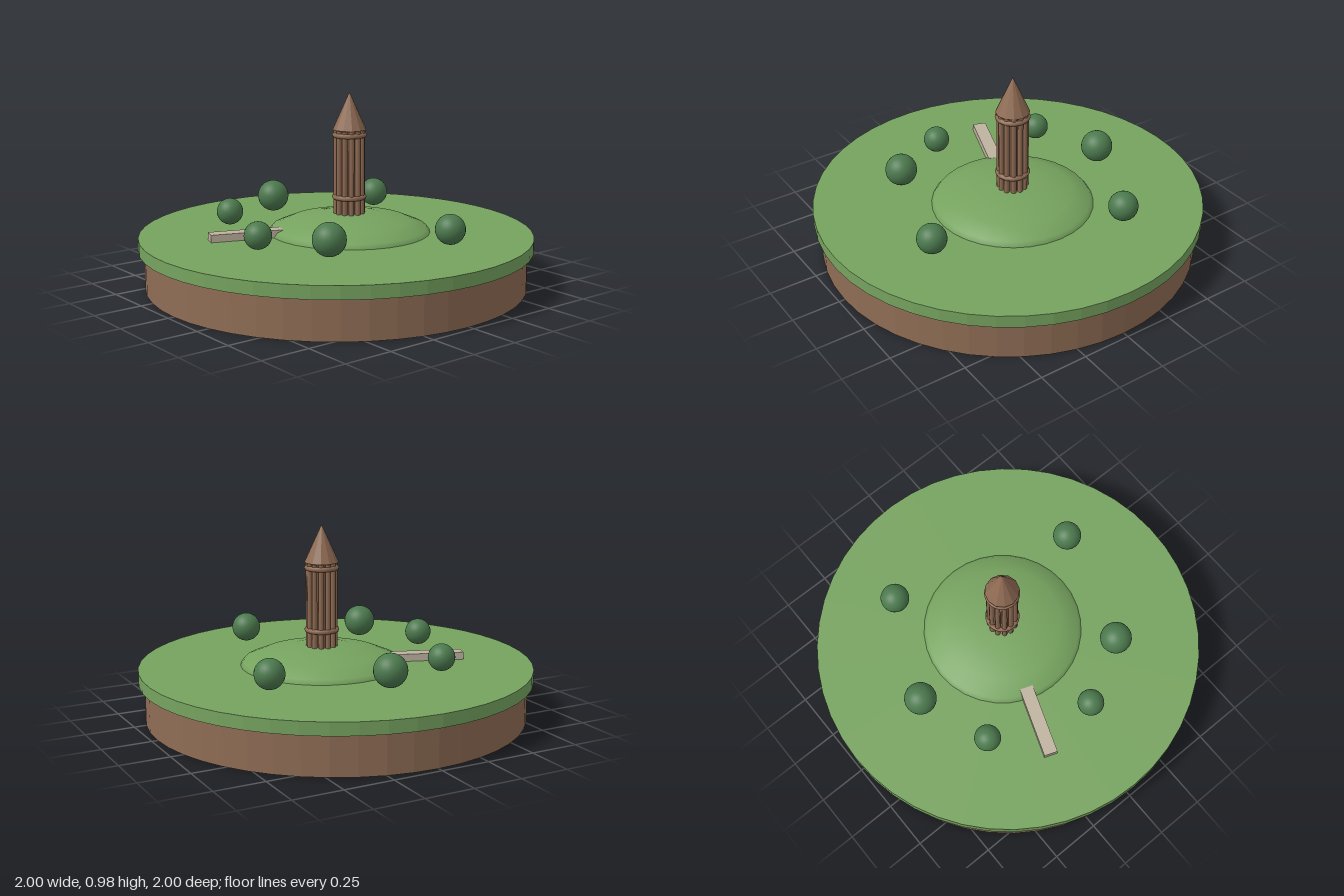
import * as THREE from 'three';

const mat = (name, color, flatShading = false) => {
  const m = new THREE.MeshStandardMaterial({ color, flatShading });
  m.name = name;
  return m;
};

export function createModel() {
  const earth = mat('earth brown', 0x8f6d55, true);
  const grass = mat('grass green', 0x76a35f, true);
  const hill = mat('mound green', 0x76a35f);
  const stone = mat('path stone', 0xbfb3a0);
  const foliage = mat('bush green', 0x4c7a4e);
  const wood = mat('tower brown', 0x8f6b53);
  const roofing = mat('roof brown', 0x8f6b53, true);

  const model = new THREE.Group();
  const add = (parent, name, geometry, material, x = 0, y = 0, z = 0) => {
    const mesh = new THREE.Mesh(geometry, material);
    mesh.name = name;
    mesh.position.set(x, y, z);
    parent.add(mesh);
    return mesh;
  };

  // Round island: soil drum with an overhanging turf disc
  add(model, 'soilBase', new THREE.CylinderGeometry(0.97, 0.97, 0.2, 48), earth, 0, 0.1, 0);
  add(model, 'turf', new THREE.CylinderGeometry(1, 1, 0.065, 48), grass, 0, 0.2325, 0);

  // Squashed, half-sunken sphere as the mound
  const mound = add(model, 'mound',
    new THREE.SphereGeometry(1, 32, 4, 0, Math.PI * 2, 0, Math.PI / 2), hill, 0.02, 0.242, -0.07);
  mound.scale.set(0.43, 0.12, 0.43);

  // Stone path leading to the mound
  const path = add(model, 'path', new THREE.BoxGeometry(0.07, 0.038, 0.37), stone, -0.165, 0.284, 0.444);
  path.rotation.y = -0.348;

  // Bushes: x, centre height, z, radius
  [
    [-0.33, 0.353, -0.53, 0.075],
    [0.597, 0.353, -0.23, 0.075],
    [-0.565, 0.36, -0.013, 0.083],
    [-0.43, 0.346, 0.36, 0.068],
    [0.092, 0.345, 0.55, 0.068],
    [0.415, 0.36, 0.372, 0.082],
  ].forEach(([x, y, z, r]) => add(model, 'bush', new THREE.SphereGeometry(r, 24, 16), foliage, x, y, z));

  // Tower: core ringed by slender columns, two bands and a pointed roof
  const tower = new THREE.Group();
  tower.name = 'tower';
  tower.position.set(0.02, 0, -0.07);
  model.add(tower);
  add(tower, 'core', new THREE.CylinderGeometry(0.058, 0.058, 0.44, 16), wood, 0, 0.56, 0);
  const column = new THREE.CylinderGeometry(0.014, 0.014, 0.45, 8);
  const count = 12;
  for (let i = 0; i < count; i++) {
    const a = (i / count) * Math.PI * 2;
    add(tower, 'column', column, wood, Math.sin(a) * 0.067, 0.56, Math.cos(a) * 0.067);
  }
  for (const y of [0.443, 0.761]) {
    const band = add(tower, 'band', new THREE.TorusGeometry(0.075, 0.013, 8, 32), wood, 0, y, 0);
    band.rotation.x = Math.PI / 2;
  }
  add(tower, 'roof', new THREE.ConeGeometry(0.086, 0.19, 12), roofing, 0, 0.883, 0);

  return model;
}
